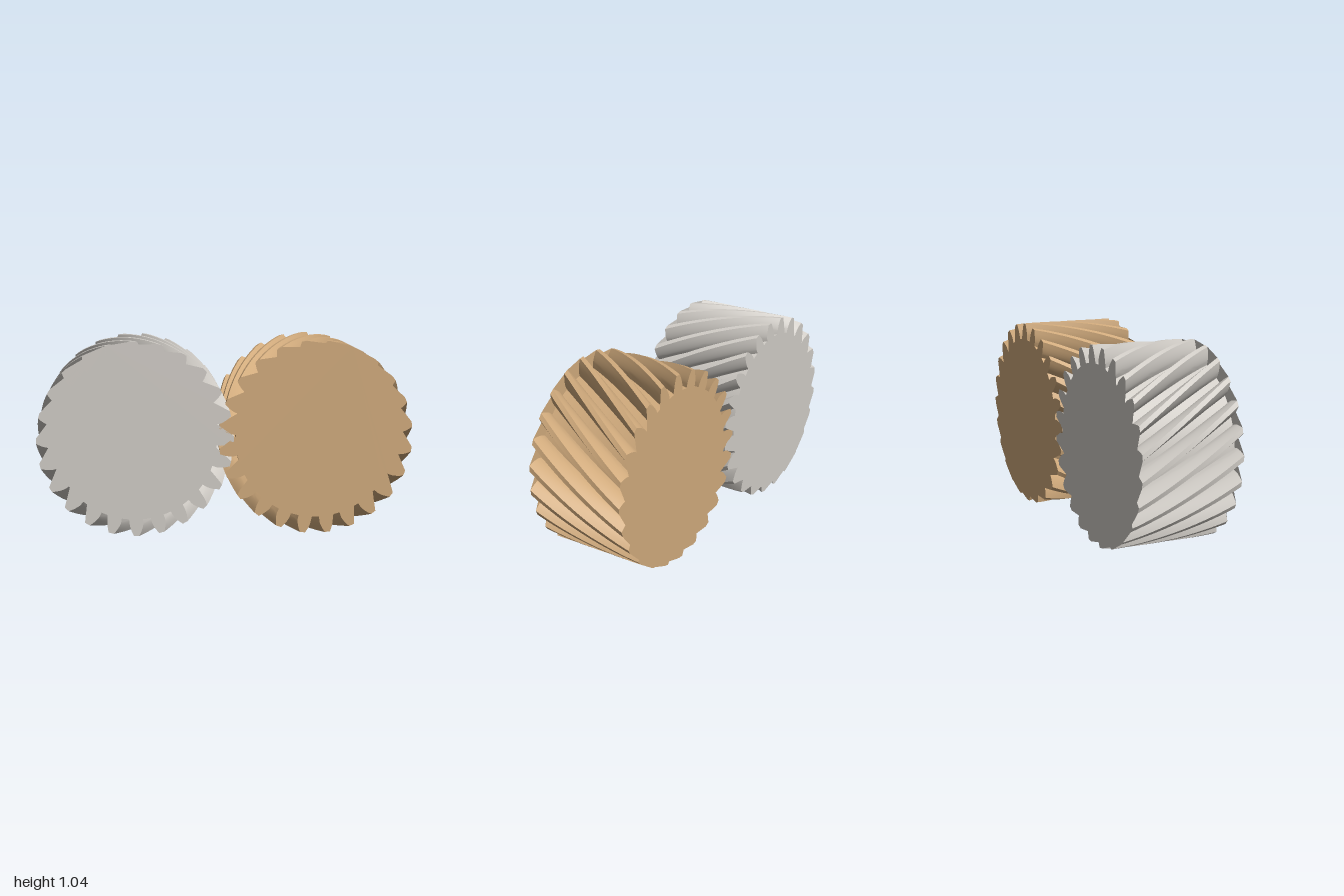
import * as THREE from 'three';
import { toCreasedNormals } from 'three/addons/utils/BufferGeometryUtils.js';

const TEETH = 24, PITCH_R = 0.48, TIP_R = 0.52, ROOT_R = 0.43;
const WIDTH = 0.554, TWIST = THREE.MathUtils.degToRad(38.6), SLICES = 20;
const PRESSURE = THREE.MathUtils.degToRad(20);
const BASE_R = PITCH_R * Math.cos(PRESSURE);
const STEP = (2 * Math.PI) / TEETH;

const involute = (a) => Math.tan(a) - a;

// Half the angular thickness of a tooth at radius r
function halfTooth(r) {
  const a = Math.acos(Math.min(1, BASE_R / r));
  return STEP / 4 + involute(PRESSURE) - involute(a);
}

// Outline of the whole gear, starting at the tip of a tooth
function gearOutline(start) {
  const flank = [TIP_R, 0.503, 0.487, 0.472, 0.459, BASE_R, ROOT_R];
  const points = [];
  const add = (r, a) => points.push(new THREE.Vector2(r * Math.cos(a), r * Math.sin(a)));
  for (let i = 0; i < TEETH; i++) {
    const mid = start + i * STEP;
    flank.forEach((r) => add(r, mid + halfTooth(r)));
    add(ROOT_R, mid + STEP / 2);
    [...flank].reverse().forEach((r) => add(r, mid + STEP - halfTooth(r)));
  }
  return points;
}

// End face: fan from one tooth tip, keeping only the triangles that face outwards
function fan(outline, apex) {
  const n = outline.length, o = outline[apex], triangles = [];
  for (let k = 1; k < n - 1; k++) {
    const i = (apex + k) % n, j = (apex + k + 1) % n;
    const area = outline[i].clone().sub(o).cross(outline[j].clone().sub(o));
    if (area > 1e-9) triangles.push([apex, i, j]);
  }
  return triangles;
}

// Helical gear: the outline lofted from back to front while it turns, closed by two end faces
function helicalGear(name, color, startDegrees, hand) {
  const outline = gearOutline(THREE.MathUtils.degToRad(startDegrees));
  const n = outline.length;
  const positions = [], index = [];
  const origin = new THREE.Vector2();

  for (let s = 0; s <= SLICES; s++) {
    const t = s / SLICES;
    for (const point of outline) {
      const p = point.clone().rotateAround(origin, hand * TWIST * (t - 1));
      positions.push(p.x, p.y, WIDTH * (t - 0.5));
    }
  }

  // Tooth walls
  for (let s = 0; s < SLICES; s++) {
    for (let i = 0; i < n; i++) {
      const a = s * n + i, b = s * n + ((i + 1) % n);
      index.push(a, b, b + n, a, b + n, a + n);
    }
  }

  // Front face, and back face fanned from a tip a quarter turn away
  const front = SLICES * n;
  const backApex = hand > 0 ? (n * 3) / 4 : n / 4;
  fan(outline, 0).forEach(([a, b, c]) => index.push(front + a, front + b, front + c));
  fan(outline, backApex).forEach(([a, b, c]) => index.push(a, c, b));

  const geo = new THREE.BufferGeometry();
  geo.setAttribute('position', new THREE.Float32BufferAttribute(positions, 3));
  geo.setIndex(index);
  // The end faces overhang the tooth gaps as thin sheets, so both sides show
  const material = new THREE.MeshStandardMaterial({ color, side: THREE.DoubleSide });
  const mesh = new THREE.Mesh(toCreasedNormals(geo, 0.6), material);
  mesh.name = name;
  return mesh;
}

export function createModel() {
  const group = new THREE.Group();
  group.name = 'helicalGearPair';

  // Meshing pair of opposite hand, half a tooth out of phase at the front face
  const leftGear = helicalGear('leftGear', 0xd0aa7c, 67.5, 1);
  leftGear.position.set(PITCH_R, TIP_R, 0);
  const rightGear = helicalGear('rightGear', 0xd0ccc6, 105, -1);
  rightGear.position.set(-PITCH_R, TIP_R, 0);

  group.add(leftGear, rightGear);
  return group;
}
